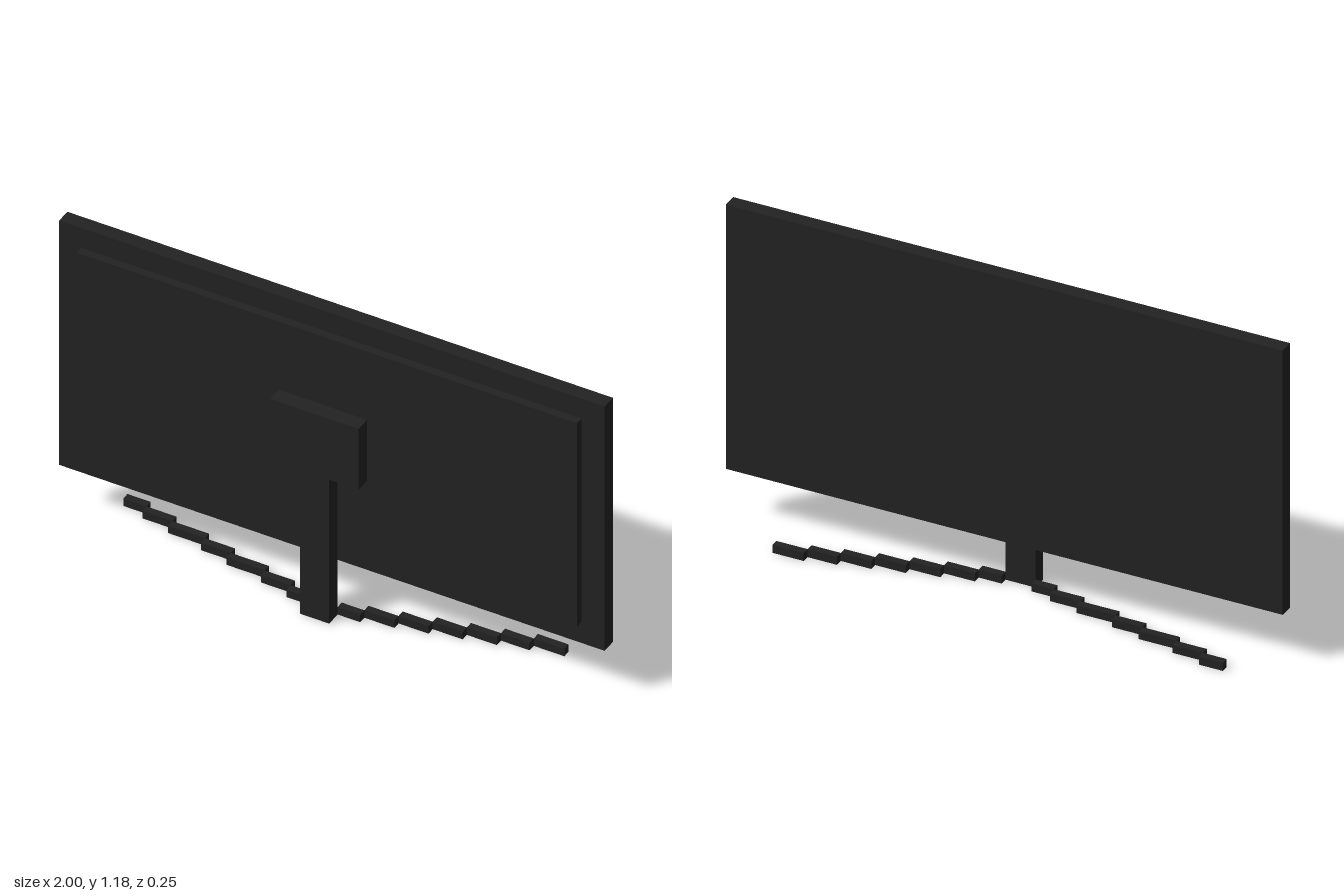
import * as THREE from 'three';

export function createModel() {
  const model = new THREE.Group();
  const black = new THREE.MeshStandardMaterial({ color: 0x222222 });
  black.name = 'charcoal plastic';

  // Box given by its lower and upper bounds on each axis
  const block = (name, [x0, x1], [y0, y1], [z0, z1], parent = model) => {
    const mesh = new THREE.Mesh(new THREE.BoxGeometry(x1 - x0, y1 - y0, z1 - z0), black);
    mesh.position.set((x0 + x1) / 2, (y0 + y1) / 2, (z0 + z1) / 2);
    mesh.name = name;
    parent.add(mesh);
  };

  // Flat panel with a raised housing, mount and neck on the +z side
  block('screenPanel', [-1, 1], [0.195, 1.18], [-0.012, 0.041]);
  block('rearHousing', [-0.92, 0.915], [0.28, 1.1], [0.041, 0.07]);
  block('mountBlock', [-0.18, 0.145], [0.58, 0.825], [0.07, 0.125]);
  block('standNeck', [-0.07, 0.037], [0, 0.58], [0.07, 0.125]);

  // Splayed feet, stepping back towards -z
  const step = 0.19 / 7;
  const addFoot = (name, xs) => {
    const foot = new THREE.Group();
    foot.name = name;
    for (let i = 0; i < xs.length - 1; i++) {
      const x = [xs[i], xs[i + 1]].sort((a, b) => a - b);
      block('footStep', x, [0, 0.03], [0.07 - (i + 1) * step, 0.07 - i * step], foot);
    }
    model.add(foot);
  };
  addFoot('leftFoot', [0.037, 0.12, 0.23, 0.34, 0.45, 0.56, 0.665, 0.777]);
  addFoot('rightFoot', [-0.07, -0.15, -0.26, -0.4, -0.51, -0.645, -0.755, -0.84]);

  return model;
}
